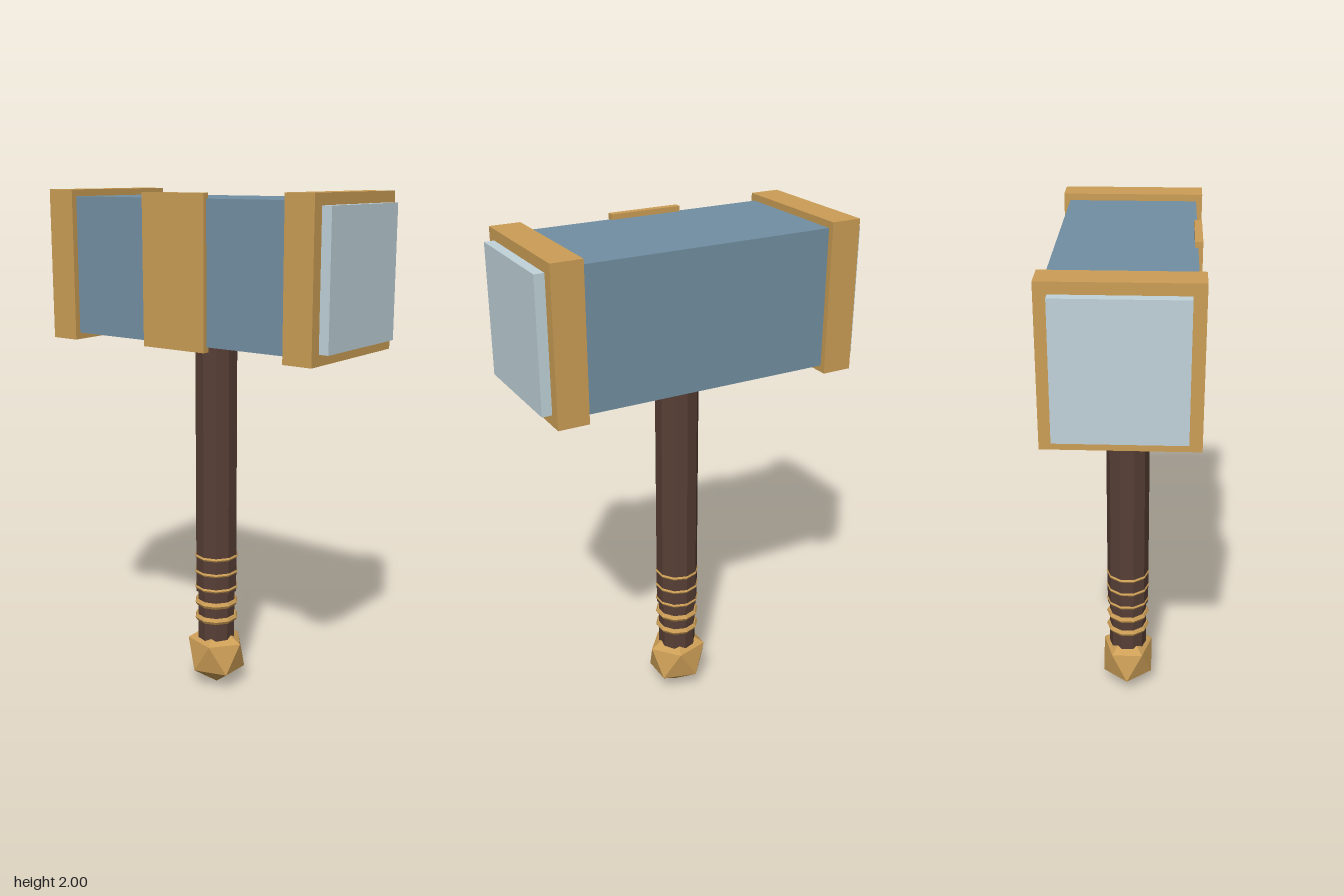
import * as THREE from 'three';

const mat = (color) => new THREE.MeshStandardMaterial({ color, flatShading: true });

export function createModel() {
  const group = new THREE.Group();
  const steel = mat(0x728fa2);
  const paleSteel = mat(0xc0d3da);
  const gold = mat(0xcc9e56);
  const wood = mat(0x573f35);

  const add = (name, geometry, material, x = 0, y = 0, z = 0) => {
    const mesh = new THREE.Mesh(geometry, material);
    mesh.name = name;
    mesh.position.set(x, y, z);
    group.add(mesh);
    return mesh;
  };

  // Head block with a gold plate on the front
  const headY = 1.712;
  add('headBlock', new THREE.BoxGeometry(1.0, 0.525, 0.495), steel, 0, headY, 0);
  add('frontPlate', new THREE.BoxGeometry(0.284, 0.565, 0.028), gold, 0, headY, 0.25);

  // Gold end bands and striking faces, mirrored
  for (const [side, s] of [['left', 1], ['right', -1]]) {
    add(side + 'Band', new THREE.BoxGeometry(0.118, 0.576, 0.542), gold, s * 0.546, headY, 0);
    add(side + 'StrikingFace', new THREE.BoxGeometry(0.1, 0.494, 0.452), paleSteel, s * 0.593, headY, 0);
  }

  // Ten-sided handle and slimmer grip
  add('handle', new THREE.CylinderGeometry(0.085, 0.085, 1.09, 10), wood, 0, 0.955, 0);
  add('grip', new THREE.CylinderGeometry(0.077, 0.077, 0.24, 10), wood, 0, 0.3, 0);

  // Grip rings
  const ring = new THREE.TorusGeometry(0.075, 0.014, 6, 10);
  ring.rotateX(Math.PI / 2).rotateY(Math.PI / 2);
  for (let i = 0; i < 5; i++) add('gripRing' + (i + 1), ring, gold, 0, 0.296 + i * 0.066, 0);

  // Faceted pommel standing on one corner
  const pommel = new THREE.IcosahedronGeometry(0.134, 0);
  pommel.rotateZ(-Math.atan(2 / (1 + Math.sqrt(5))));
  add('pommel', pommel, gold, 0, 0.134, 0).scale.z = 0.89;

  return group;
}
